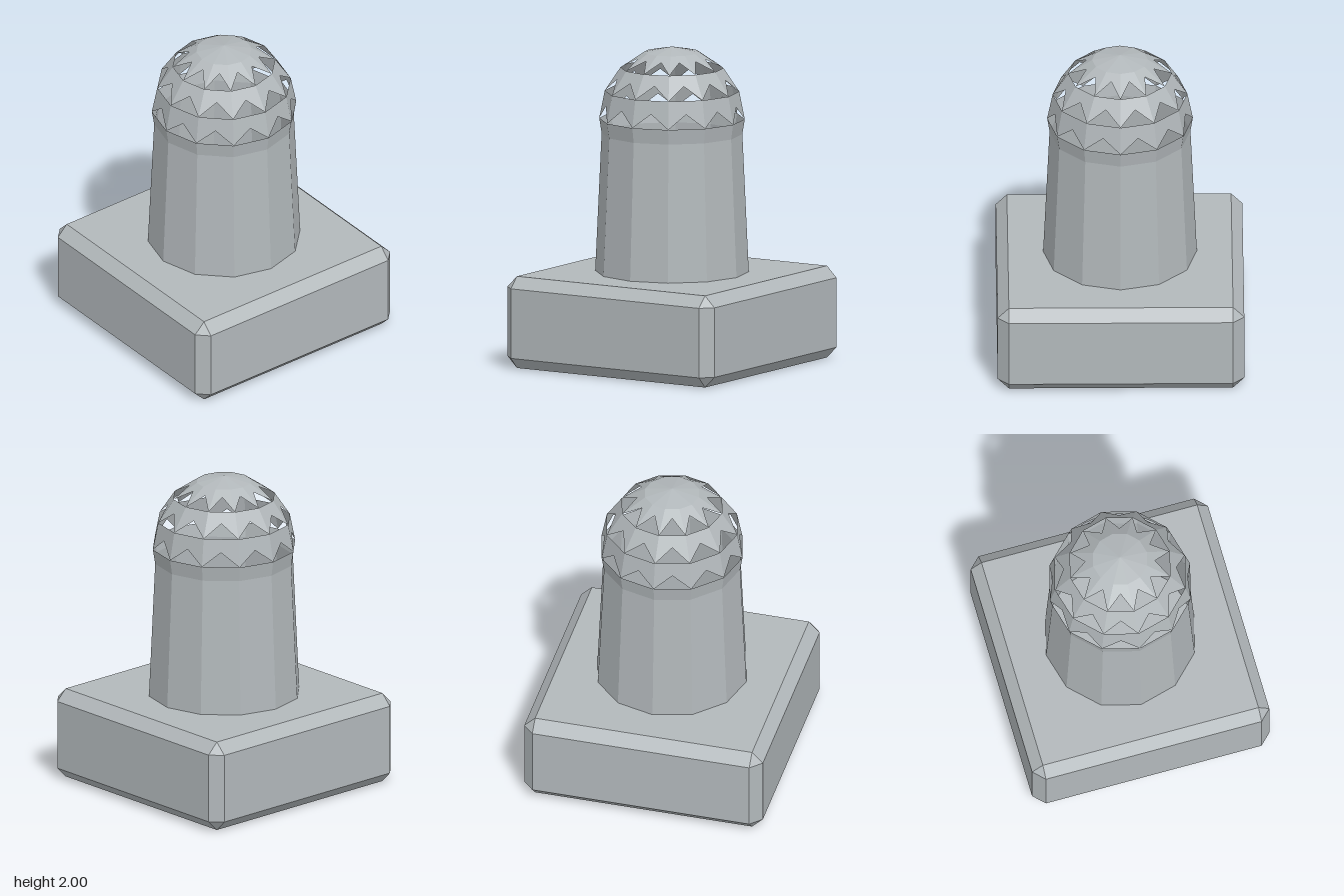
import * as THREE from 'three';
import { ConvexGeometry } from 'three/addons/geometries/ConvexGeometry.js';

const SIDES = 12;
const DOME_Y = 1.545, DOME_R = 0.455;

// Ring point: side index may be fractional (0.5 = middle of a facet, on the chord)
function ringPoint(r, y, i) {
  const at = (k) => {
    const a = (k / SIDES) * Math.PI * 2;
    return new THREE.Vector3(Math.sin(a) * r, y, Math.cos(a) * r);
  };
  const k = Math.floor(i);
  return at(k).lerp(at(k + 1), i - k);
}

// Dome band with a toothed lower edge: each facet misses the triangle below its crossing diagonals
function toothedBand(low, high) {
  const pts = [];
  const t = high.r / (high.r + low.r);
  const midR = THREE.MathUtils.lerp(high.r, low.r, t);
  const midY = THREE.MathUtils.lerp(high.y, low.y, t);
  for (let i = 0; i < SIDES; i++) {
    const a = ringPoint(low.r, low.y, i), b = ringPoint(low.r, low.y, i + 1);
    const c = ringPoint(high.r, high.y, i + 1), d = ringPoint(high.r, high.y, i);
    const m = ringPoint(midR, midY, i + 0.5);
    pts.push(a, m, d, b, c, m, m, c, d);
  }
  const geo = new THREE.BufferGeometry().setFromPoints(pts);
  geo.computeVertexNormals();
  return geo;
}

// Box with all edges and corners cut flat
function chamferedBox(w, h, d, c) {
  const pts = [];
  for (const x of [-1, 1]) for (const y of [-1, 1]) for (const z of [-1, 1]) {
    for (let axis = 0; axis < 3; axis++) {
      const p = [w / 2 - c, h / 2 - c, d / 2 - c];
      p[axis] += c;
      pts.push(new THREE.Vector3(p[0] * x, p[1] * y, p[2] * z));
    }
  }
  return new ConvexGeometry(pts);
}

export function createModel() {
  const group = new THREE.Group();
  const stone = new THREE.MeshStandardMaterial({ color: 0xb2b8bb, flatShading: true, side: THREE.DoubleSide });
  stone.name = 'grey stone';

  const add = (name, geo, y = 0) => {
    const mesh = new THREE.Mesh(geo, stone);
    mesh.name = name;
    mesh.position.y = y;
    group.add(mesh);
  };
  const tube = (top, bottom, y0, y1, name) =>
    add(name, new THREE.CylinderGeometry(top, bottom, y1 - y0, SIDES, 1, true), (y0 + y1) / 2);

  // Plinth
  add('base', chamferedBox(1.54, 0.58, 1.54, 0.07), 0.29);

  // Tapered shaft and flared rim, open at the top
  tube(0.44, 0.48, 0.58, 1.45, 'column');
  tube(DOME_R, 0.44, 1.45, DOME_Y, 'columnRim');

  // Pierced hemisphere: rings at quarter steps up to the pole
  const rings = [0, 1, 2, 3].map((k) => {
    const a = (k * Math.PI) / 8;
    return { r: Math.cos(a) * DOME_R, y: DOME_Y + Math.sin(a) * DOME_R };
  });
  for (let k = 0; k < 3; k++) add('domeBand' + (k + 1), toothedBand(rings[k], rings[k + 1]));

  // Solid crown
  const crown = rings[3], crownH = DOME_Y + DOME_R - crown.y;
  add('domeCrown', new THREE.ConeGeometry(crown.r, crownH, SIDES, 1, true), crown.y + crownH / 2);

  return group;
}
